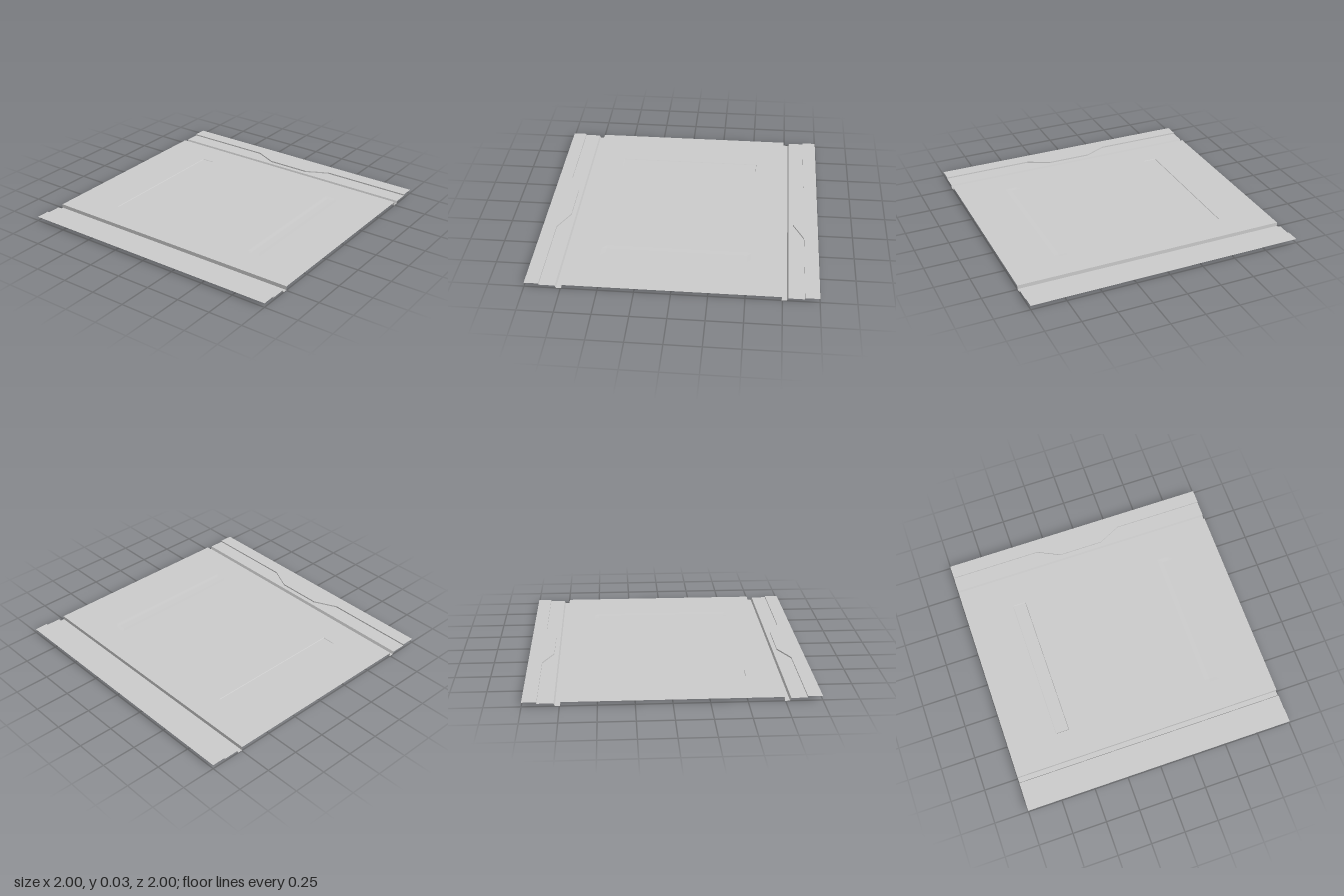
import * as THREE from 'three';

const TOP = 0.028, SHELF = 0.02;
const mat = new THREE.MeshStandardMaterial({ color: 0xcccccc, side: THREE.DoubleSide, flatShading: true });

function add(group, name, geometry) {
  const mesh = new THREE.Mesh(geometry, mat);
  mesh.name = name;
  group.add(mesh);
  return mesh;
}

// Flat horizontal sheet at height y from [x, z] corners, with optional rectangular holes
function sheet(points, y, holes = []) {
  const toShape = (pts) => pts.map(([x, z]) => new THREE.Vector2(x, -z));
  const shape = new THREE.Shape(toShape(points));
  holes.forEach((h) => shape.holes.push(new THREE.Path(toShape(h))));
  return new THREE.ShapeGeometry(shape).rotateX(-Math.PI / 2).translate(0, y, 0);
}

// Quad strip between two matching 3D polylines
function ribbon(a, b) {
  const pos = [], index = [];
  a.forEach((p, i) => {
    pos.push(...p, ...b[i]);
    if (i) index.push(2 * i - 2, 2 * i - 1, 2 * i, 2 * i, 2 * i - 1, 2 * i + 1);
  });
  const g = new THREE.BufferGeometry();
  g.setAttribute('position', new THREE.Float32BufferAttribute(pos, 3));
  g.setIndex(index);
  g.computeVertexNormals();
  return g;
}

const rect = (x, z0, z1) => [[-x, z0], [x, z0], [x, z1], [-x, z1]];

// Shallow rectangular pan: the inner vertices drop, the rim stays level
function pan(halfX, z0, z1, rim, depth) {
  const g = new THREE.PlaneGeometry(2, 2, 3, 3).rotateX(-Math.PI / 2);
  const p = g.attributes.position;
  const hz = (z1 - z0) / 2, mid = (z0 + z1) / 2;
  for (let i = 0; i < p.count; i++) {
    const x = p.getX(i), z = p.getZ(i);
    const inner = Math.abs(x) < 0.9 && Math.abs(z) < 0.9;
    const place = (v, half) => Math.sign(v) * (Math.abs(v) > 0.9 ? half : half - rim);
    p.setXYZ(i, place(x, halfX), TOP - (inner ? depth : 0), mid + place(z, hz));
  }
  g.computeVertexNormals();
  return g;
}

export function createModel() {
  const model = new THREE.Group();
  model.name = 'floorPanel';

  // Centre deck with two long shallow recesses
  const rear = [-0.64, -0.54], front = [0.53, 0.64];
  add(model, 'centreDeck', sheet(rect(0.745, -1, 1), TOP, [rect(0.53, ...rear), rect(0.53, ...front)]));
  add(model, 'rearRecess', pan(0.53, ...rear, 0.003, 0.004));
  add(model, 'frontRecess', pan(0.53, ...front, 0.03, 0.001));

  // Inner edge of each raised border, stepping inwards at mid length
  const step = [[0.9, -1], [0.9, -0.33], [0.82, -0.165], [0.82, 0.165], [0.9, 0.33], [0.9, 1]];
  // Drain channel cross-section from deck to shelf
  const channel = [[0.745, TOP], [0.745, 0], [0.78, 0], [0.788, SHELF]];

  for (const [side, s] of [['left', 1], ['right', -1]]) {
    const edge = step.map(([x, z]) => [s * x, z]);
    add(model, side + 'Border', sheet([...edge, [s, 1], [s, -1]], 0.03));
    add(model, side + 'Shelf', sheet([...edge, [s * 0.788, 1], [s * 0.788, -1]], SHELF));
    add(model, side + 'BorderStep', ribbon(edge.map(([x, z]) => [x, 0.03, z]), edge.map(([x, z]) => [x, SHELF, z])));
    add(model, side + 'Channel', ribbon(channel.map(([x, y]) => [s * x, y, -1]), channel.map(([x, y]) => [s * x, y, 1])));
  }
  return model;
}
